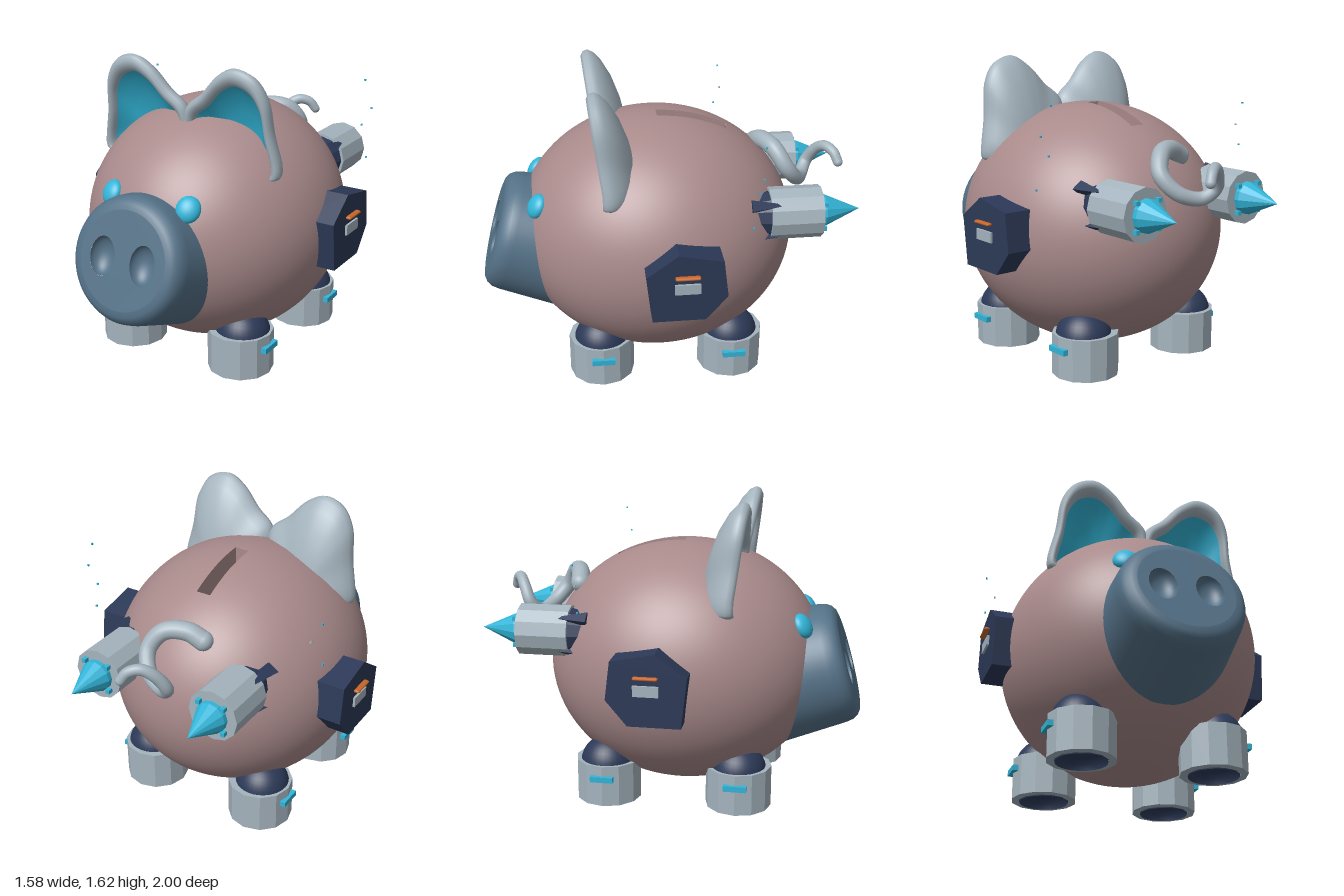
import * as THREE from 'three';

const mat = (name, color, side = THREE.FrontSide) => {
  const m = new THREE.MeshStandardMaterial({ color, side });
  m.name = name;
  return m;
};

export function createModel() {
  const pink = mat('dusty pink', 0xa98a8b);
  const slate = mat('slate blue', 0x557288);
  const grey = mat('light grey', 0xa5b4be);
  const cyan = mat('cyan', 0x32b5d8);
  const navy = mat('navy', 0x2c3957);
  const orange = mat('orange', 0xc8662a);

  const root = new THREE.Group();
  root.name = 'piggyBank';
  const add = (name, geo, material, x = 0, y = 0, z = 0, parent = root) => {
    const m = new THREE.Mesh(geo, material);
    m.name = name;
    m.position.set(x, y, z);
    parent.add(m);
    return m;
  };
  const flat = (geo) => {
    const g = geo.index ? geo.toNonIndexed() : geo;
    g.computeVertexNormals();
    return g;
  };
  const lathe = (pts, n) => new THREE.LatheGeometry(pts.map(([r, y]) => new THREE.Vector2(r, y)), n);
  const box = (w, h, d) => new THREE.BoxGeometry(w, h, d);

  // Body: ellipsoid with poles on x, so the coin slot is a gap in the middle band
  const R = [0.68, 0.66, 0.75], cy = 0.71, cz = 0.05;
  const step = Math.PI * 2 / 96, phi0 = -0.013, half = 0.059, slotSteps = 8;
  const bodyPart = (name, steps, t0, tl, rows) => {
    const g = new THREE.SphereGeometry(1, steps, rows, phi0, steps * step, t0, tl);
    g.rotateZ(-Math.PI / 2);
    g.scale(...R);
    add(name, g, pink, 0, cy, cz);
  };
  bodyPart('bodyLeft', 96, 0, Math.PI / 2 - half, 32);
  bodyPart('bodyMiddle', 96 - slotSteps, Math.PI / 2 - half, 2 * half, 2);
  bodyPart('bodyRight', 96, Math.PI / 2 + half, Math.PI / 2 - half, 32);

  // Slot lining: inside-out box whose top follows the body
  const zA = R[2] * Math.sin(phi0 - slotSteps * step), zB = R[2] * Math.sin(phi0);
  const slot = new THREE.BoxGeometry(0.08, 1, zB - zA, 1, 1, slotSteps);
  slot.translate(0, 0, (zA + zB) / 2);
  const sp = slot.attributes.position;
  for (let i = 0; i < sp.count; i++) {
    const top = R[1] * Math.sqrt(1 - (sp.getZ(i) / R[2]) ** 2) - 0.001;
    sp.setY(i, sp.getY(i) > 0 ? top : 0.49);
  }
  slot.scale(-1, 1, 1);
  add('coinSlot', flat(slot), pink, 0, cy, cz);

  // Snout, tilted slightly upwards, with hollow nostrils
  const snout = new THREE.Group();
  snout.name = 'snout';
  snout.position.set(0, 0.735, 0.93);
  snout.rotation.x = -0.29;
  root.add(snout);
  const barrel = lathe([[0.36, -0.45], [0.328, -0.09], [0.32, -0.05], [0.303, -0.022], [0.28, -0.006], [0.25, 0]], 64);
  barrel.rotateX(Math.PI / 2);
  add('snoutBarrel', barrel, slate, 0, 0, 0, snout);
  const face = new THREE.Shape().absarc(0, 0, 0.25, 0, Math.PI * 2);
  for (const s of [-1, 1]) {
    face.holes.push(new THREE.Path().absellipse(s * 0.12, 0, 0.073, 0.1, 0, Math.PI * 2, true));
    const bowl = new THREE.SphereGeometry(1, 32, 12, 0, Math.PI * 2, Math.PI / 2, Math.PI / 2);
    bowl.rotateX(Math.PI / 2);
    bowl.scale(-0.073, 0.1, 0.06);
    bowl.computeVertexNormals();
    add('nostril', bowl, slate, s * 0.12, 0, 0, snout);
  }
  add('snoutFace', new THREE.ShapeGeometry(face, 32), slate, 0, 0, 0, snout);

  // Ears: rings shrinking from an outline towards a centre, [shrink, z offset]
  const outline = new THREE.CatmullRomCurve3([
    [0, 1.37], [0.1, 1.46], [0.2, 1.565], [0.3, 1.615], [0.41, 1.58], [0.475, 1.48], [0.5, 1.3],
    [0.533, 1.08], [0.49, 1.05], [0.38, 1.0], [0.2, 1.08], [0, 1.2],
  ].map(([x, y]) => new THREE.Vector3(x, y, 0)), true).getPoints(96).slice(0, 96);
  const earSurface = (rings, s) => {
    const pos = [], idx = [], n = outline.length;
    for (const [k, dz] of rings) for (const p of outline) {
      const x = p.x + (0.27 - p.x) * k, y = p.y + (1.13 - p.y) * k;
      pos.push(s * x, y, 0.30 + 0.06 * Math.max(0, (y - 1.15) / 0.45) + dz);
    }
    for (let r = 0; r < rings.length - 1; r++) for (let c = 0; c < n; c++) {
      const a = r * n + c, b = r * n + (c + 1) % n, d = a + n, e = b + n;
      if (s > 0) idx.push(a, d, b, b, d, e);
      else idx.push(a, b, d, b, e, d);
    }
    const g = new THREE.BufferGeometry();
    g.setAttribute('position', new THREE.Float32BufferAttribute(pos, 3));
    g.setIndex(idx);
    g.computeVertexNormals();
    return g;
  };
  const shell = [[1, -0.13], [0.8, -0.128], [0.55, -0.115], [0.3, -0.085], [0.12, -0.045], [0.03, -0.01], [0, 0.02],
    [0.02, 0.045], [0.07, 0.06], [0.13, 0.058], [0.18, 0.04], [0.2, 0.01]];
  const lining = [[0.19, 0.02], [0.3, -0.02], [0.5, -0.06], [0.75, -0.085], [1, -0.09]];

  for (const s of [-1, 1]) {
    add('ear', earSurface(shell, s), grey);
    add('innerEar', earSurface(lining, s), cyan);

    // Eye: flattened ball lying on the body
    const eye = new THREE.SphereGeometry(1, 32, 20);
    eye.scale(0.063, 0.068, 0.04);
    const e = add('eye', eye, cyan, s * 0.23, 0.97, 0.69);
    e.rotation.set(-0.55, s * 0.35, 0);

    // Side hatch
    const hex = new THREE.Shape([[-0.01, 0.935], [0.215, 0.89], [0.24, 0.69], [0.13, 0.56], [-0.14, 0.56], [-0.17, 0.82]]
      .map(([x, y]) => new THREE.Vector2(x, y)));
    const hatch = new THREE.ExtrudeGeometry(hex, { depth: 0.2, bevelEnabled: false });
    hatch.rotateY(Math.PI / 2);
    add('sideHatch', hatch, navy, s > 0 ? 0.56 : -0.76);
    const bar = new THREE.CapsuleGeometry(0.009, 0.11, 4, 10);
    bar.rotateX(Math.PI / 2);
    bar.scale(2, 1, 1);
    add('hatchBar', bar, orange, s * 0.772, 0.814, -0.035);
    add('hatchLabel', box(0.03, 0.055, 0.13), grey, s * 0.757, 0.747, -0.035);

    // Legs: faceted hollow cuffs with a rounded knee
    for (const z of [0.38, -0.325]) {
      const leg = new THREE.Group();
      leg.name = z > 0 ? 'frontLeg' : 'rearLeg';
      leg.position.set(s * 0.345, 0, z);
      root.add(leg);
      add('cuff', flat(lathe([[0.135, 0.05], [0.135, 0.005], [0.175, 0.008], [0.175, 0.23], [0.1, 0.23]], 12)), grey, 0, 0, 0, leg);
      add('sole', lathe([[0, 0.06], [0.1, 0.055], [0.125, 0.03], [0.13, 0]].reverse().concat([]).reverse()
        .map(([r, y]) => [r, y]), 32).rotateX(0), navy, 0, 0, 0, leg);
      add('soleRim', lathe([[0.13, 0], [0.138, 0.04]], 32), navy, 0, 0, 0, leg);
      add('knee', new THREE.SphereGeometry(0.148, 32, 20), navy, s * 0.012, 0.2, 0, leg);
      add('legLight', box(0.03, 0.03, 0.122), cyan, s * 0.175, 0.162, 0, leg);
    }

    // Thrusters on the back
    const jet = new THREE.Group();
    jet.name = 'thruster';
    jet.position.set(s * 0.345, 0.92, 0);
    root.add(jet);
    const along = (g) => flat(g.rotateX(-Math.PI / 2)); // y becomes -z
    add('casing', along(new THREE.CylinderGeometry(0.138, 0.138, 0.275, 12)), grey, 0, 0, -0.648, jet);
    add('collar', along(new THREE.CylinderGeometry(0.085, 0.085, 0.03, 12)), cyan, 0, 0, -0.795, jet);
    add('nozzleTip', along(new THREE.ConeGeometry(0.085, 0.19, 12)), cyan, 0, 0, -0.905, jet);
    add('mount', along(new THREE.CylinderGeometry(0.125, 0.1, 0.12, 12)), navy, 0, 0, -0.46, jet);
    for (const u of [-1, 1]) for (const v of [-1, 1]) {
      add('mountProng', along(new THREE.ConeGeometry(0.055, 0.2, 4).scale(1, 1, 0.7)), navy, u * 0.088, v * 0.088, -0.505, jet);
      add('nozzleStud', box(0.022, 0.022, 0.03), cyan, u * 0.07, v * 0.07, -0.798, jet);
    }
  }

  // Curly tail: tube tapered ring by ring
  const tailPath = new THREE.CatmullRomCurve3([
    [-0.12, 1.13, -0.52], [-0.04, 1.17, -0.54], [0.07, 1.16, -0.59], [0.125, 1.07, -0.65], [0.07, 0.98, -0.72],
    [-0.04, 0.95, -0.77], [-0.1, 1.0, -0.81], [-0.07, 1.08, -0.85], [-0.01, 1.125, -0.89], [0.045, 1.11, -0.925],
    [0.075, 1.065, -0.945],
  ].map((p) => new THREE.Vector3(...p)));
  const N = 96, sides = 16, tail = new THREE.TubeGeometry(tailPath, N, 1, sides);
  const tp = tail.attributes.position, v = new THREE.Vector3();
  for (let i = 0; i < tp.count; i++) {
    const t = Math.floor(i / (sides + 1)) / N, c = tailPath.getPointAt(t);
    v.fromBufferAttribute(tp, i).sub(c).multiplyScalar(0.052 - 0.026 * t).add(c);
    tp.setXYZ(i, v.x, v.y, v.z);
  }
  add('tail', tail, grey);
  add('tailRoot', new THREE.SphereGeometry(0.052, 20, 14), grey, ...tailPath.getPoint(0).toArray());
  add('tailEnd', new THREE.SphereGeometry(0.026, 16, 12), grey, ...tailPath.getPoint(1).toArray());

  // Tiny floating sparks
  [[0.63, 1.43, -0.425], [0.68, 1.285, -0.41], [0.63, 1.185, -0.405], [0.68, 1.02, -0.37],
    [-0.715, 1.35, -0.4], [-0.66, 1.235, -0.405], [-0.715, 1.115, -0.38]]
    .forEach((p, i) => add('spark', box(0.009, 0.009, 0.009), i === 5 ? grey : cyan, ...p));

  return root;
}
